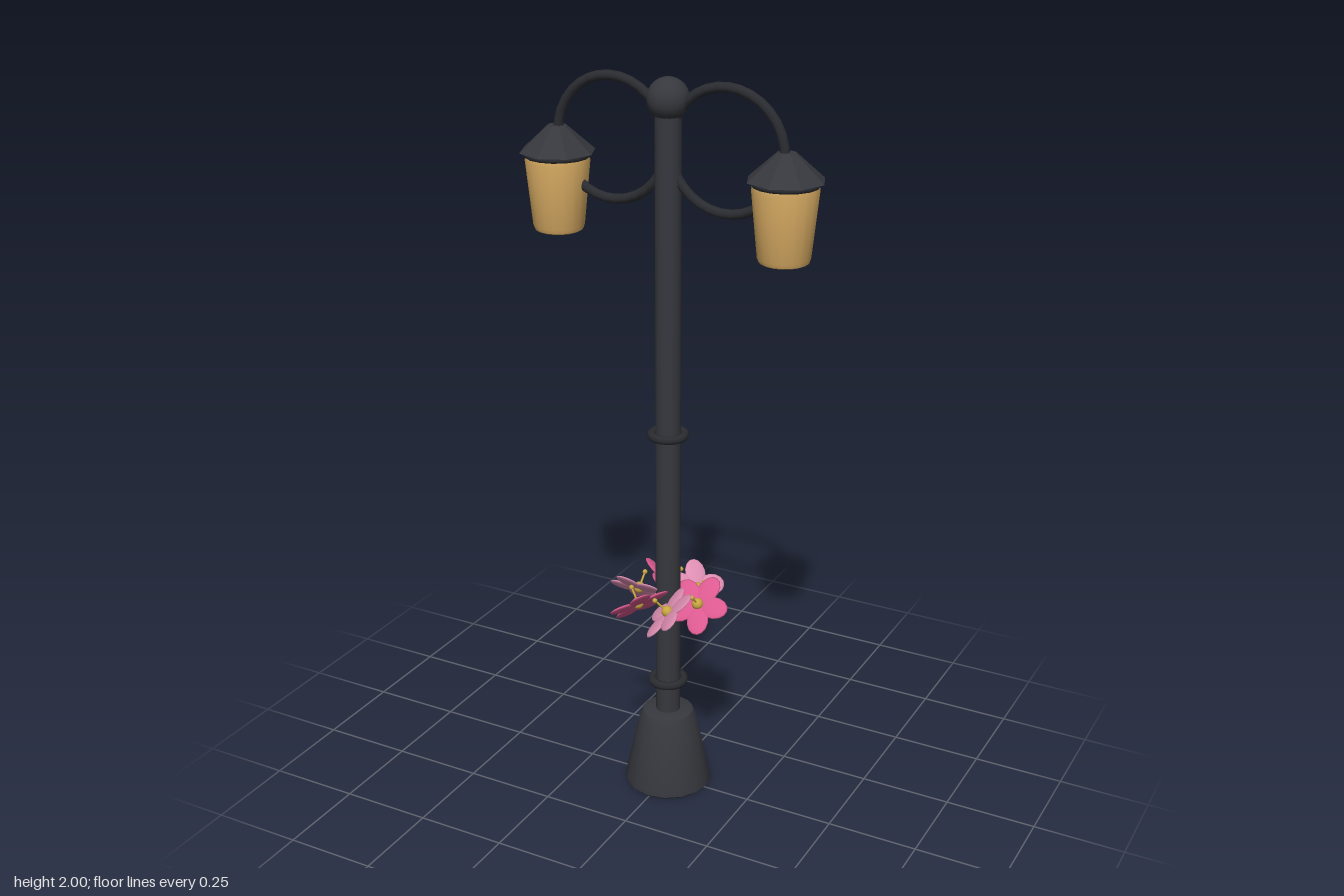
import * as THREE from 'three';
import { toCreasedNormals } from 'three/addons/utils/BufferGeometryUtils.js';

const mat = (name, color) => {
  const m = new THREE.MeshStandardMaterial({ color });
  m.name = name;
  return m;
};

export function createModel() {
  const iron = mat('iron', 0x37383e);
  const darkIron = mat('dark iron', 0x2b2c31);
  const glass = mat('warm glass', 0xd6aa62);
  const lightPink = mat('light pink', 0xdf8fb3);
  const hotPink = mat('hot pink', 0xdc5a90);
  const yellow = mat('yellow', 0xc9a642);

  const model = new THREE.Group();
  model.name = 'streetLamp';
  const add = (parent, name, geo, material, x = 0, y = 0, z = 0) => {
    const mesh = new THREE.Mesh(geo, material);
    mesh.name = name;
    mesh.position.set(x, y, z);
    parent.add(mesh);
    return mesh;
  };
  const lathe = (points, sides) => toCreasedNormals(
    new THREE.LatheGeometry(points.map(p => new THREE.Vector2(...p)), sides), 0.6);

  // Post: flared foot, shaft, collars and ball finial
  add(model, 'base', lathe([[0, 0], [0.114, 0], [0.12, 0.006], [0.119, 0.02],
    [0.078, 0.212], [0.07, 0.226], [0.058, 0.23], [0, 0.23]], 16), iron);
  add(model, 'post', new THREE.CylinderGeometry(0.034, 0.034, 1.71, 16), iron, 0, 1.08);
  for (const y of [0.322, 1.058]) {
    add(model, 'collar', new THREE.TorusGeometry(0.044, 0.012, 8, 20), darkIron, 0, y)
      .rotation.x = Math.PI / 2;
  }
  add(model, 'finial', new THREE.SphereGeometry(0.054, 20, 14), iron, 0, 1.943);

  // Two mirrored arms, each a curl ending at a lantern
  for (const side of [0, Math.PI]) {
    const arm = new THREE.Group();
    arm.name = side ? 'rightLamp' : 'leftLamp';
    arm.rotation.y = side;
    model.add(arm);
    add(arm, 'curledArm', new THREE.TorusGeometry(0.156, 0.013, 8, 28, 5.4),
      darkIron, 0.16, 1.83);
    const cap = new THREE.CylinderGeometry(0.024, 0.1, 0.068, 8).toNonIndexed();
    cap.computeVertexNormals();
    add(arm, 'lanternCap', cap, iron, 0.32, 1.812);
    add(arm, 'lanternRim', new THREE.TorusGeometry(0.08, 0.008, 6, 16), darkIron, 0.32, 1.772)
      .rotation.x = Math.PI / 2;
    add(arm, 'lanternGlass', lathe([[0, 1.572], [0.055, 1.572], [0.063, 1.576],
      [0.067, 1.587], [0.084, 1.755], [0.082, 1.768], [0, 1.772]], 18), glass, 0.32);
  }

  // Wreath of six flowers, each leaning halfway between upward and around the post
  const petalGeo = new THREE.SphereGeometry(1, 14, 8);
  petalGeo.scale(0.042, 0.006, 0.031);
  const ring = new THREE.Group();
  ring.name = 'flowerRing';
  model.add(ring);
  for (let i = 0; i < 6; i++) {
    const a = i * Math.PI / 3;
    const outward = new THREE.Vector3(Math.cos(a), 0, Math.sin(a));
    const facing = new THREE.Vector3(-Math.sin(a), 1, Math.cos(a)).normalize();
    const across = new THREE.Vector3().crossVectors(outward, facing);
    const flower = new THREE.Group();
    flower.name = 'flower';
    flower.quaternion.setFromRotationMatrix(new THREE.Matrix4().makeBasis(outward, facing, across));
    flower.position.copy(outward).multiplyScalar(0.093).setY(0.576);
    ring.add(flower);
    for (let k = 0; k < 5; k++) {
      const b = k * Math.PI * 2 / 5;
      add(flower, 'petal', petalGeo, i % 2 ? lightPink : hotPink,
        0.046 * Math.cos(b), 0.003, -0.046 * Math.sin(b)).rotation.y = b;
    }
    add(flower, 'flowerCentre', new THREE.SphereGeometry(0.016, 12, 8), yellow, 0, 0.008);
    add(flower, 'pistil', new THREE.CylinderGeometry(0.003, 0.003, 0.05, 6), yellow, 0, 0.03);
    add(flower, 'pistilTip', new THREE.SphereGeometry(0.007, 10, 6), yellow, 0, 0.055);
  }
  return model;
}
